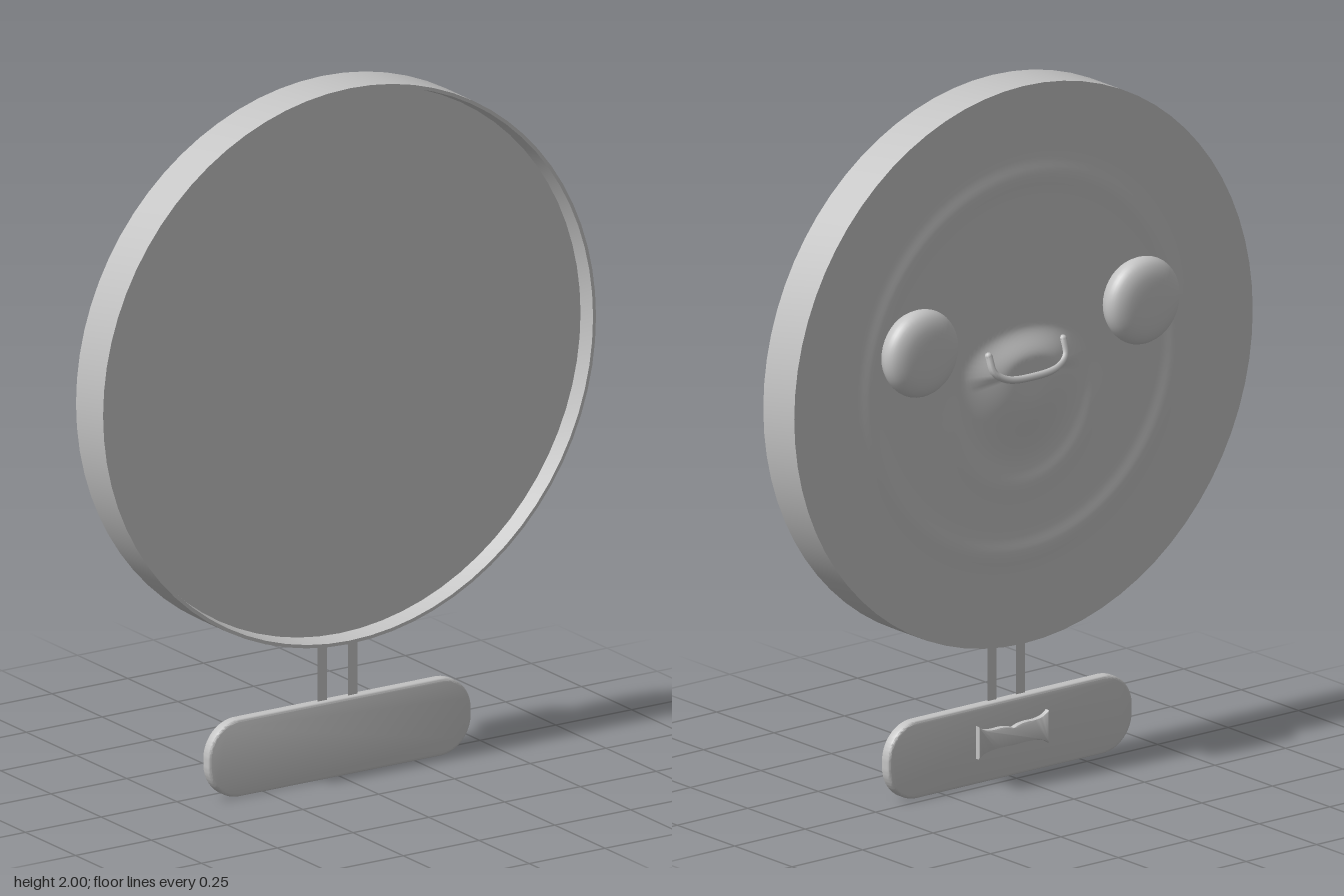
import * as THREE from 'three';
import { toCreasedNormals } from 'three/addons/utils/BufferGeometryUtils.js';

const RX = 0.813, RY = 0.8025, CY = 1.1975; // disc half-width, half-height, centre height
const BACK = -0.03, FRONT = 0.105;

const smooth = THREE.MathUtils.smoothstep;

// Height of the relief on the back face
function relief(x, y) {
  const dy = y - 1.18;
  // muzzle: steep above the mouth, sloping gently to the chin
  const muzzle = dy > 0
    ? 1 - smooth(Math.hypot(x / 0.23, dy / 0.13), 0.35, 1)
    : 1 - smooth(Math.hypot(x / 0.23, dy / 0.27), 0.2, 1);
  // soft chin fold and a large, shallow ring around the face
  const chin = Math.exp(-(((Math.hypot(x, y - 1.1) - 0.25) / 0.035) ** 2)) * (dy < 0 ? smooth(-dy, 0, 0.15) : 0);
  const ring = Math.exp(-(((Math.hypot(x, y - CY) - 0.54) / 0.035) ** 2));
  return 0.036 * muzzle + 0.004 * chin + 0.005 * ring;
}

// Rounded rectangle centred on the origin
function pill(w, h, r) {
  const s = new THREE.Shape();
  s.absarc(w - r, h - r, r, 0, Math.PI / 2);
  s.absarc(-w + r, h - r, r, Math.PI / 2, Math.PI);
  s.absarc(-w + r, -h + r, r, Math.PI, 1.5 * Math.PI);
  s.absarc(w - r, -h + r, r, 1.5 * Math.PI, 2 * Math.PI);
  return s;
}

export function createModel() {
  const model = new THREE.Group();
  const grey = new THREE.MeshStandardMaterial({ color: 0xc4c4c4 });
  grey.name = 'plain grey';
  grey.side = THREE.DoubleSide;

  const add = (name, geometry, x = 0, y = 0, z = 0) => {
    const mesh = new THREE.Mesh(geometry, grey);
    mesh.name = name;
    mesh.position.set(x, y, z);
    model.add(mesh);
    return mesh;
  };

  // Round tray: outer wall, thin rim and recessed front panel
  const profile = [[1, BACK], [1, FRONT], [0.988, FRONT], [0.978, 0.055], [0, 0.055]]
    .map(([r, z]) => new THREE.Vector2(r, z));
  const tray = new THREE.LatheGeometry(profile, 72).rotateX(Math.PI / 2).scale(RX, RY, 1);
  add('disc', toCreasedNormals(tray, 0.6), 0, CY, 0);

  // Back face with its sculpted relief
  const face = new THREE.RingGeometry(0.001, 1, 72, 80).rotateY(Math.PI).scale(RX, RY, 1);
  const p = face.attributes.position;
  for (let i = 0; i < p.count; i++) p.setZ(i, BACK - relief(p.getX(i), p.getY(i) + CY));
  face.computeVertexNormals();
  add('backFace', face, 0, CY, 0);

  // Button eyes
  const eyeCurve = new THREE.SplineCurve([
    [0.112, 0], [0.122, 0.02], [0.124, 0.04], [0.112, 0.06], [0.085, 0.073], [0.045, 0.078], [0.0001, 0.079],
  ].map(([r, z]) => new THREE.Vector2(r, z)));
  for (const side of [1, -1]) {
    const eye = new THREE.LatheGeometry(eyeCurve.getPoints(18), 40).rotateX(-Math.PI / 2);
    add(side > 0 ? 'leftEye' : 'rightEye', eye, side * 0.393, 1.315, BACK);
  }

  // Smile: a slim ridge along the top of the muzzle
  const smile = new THREE.CatmullRomCurve3([
    [-0.132, 1.25, -0.04], [-0.125, 1.205, -0.055], [-0.085, 1.18, -0.064], [0, 1.172, -0.067],
    [0.085, 1.18, -0.064], [0.125, 1.205, -0.055], [0.132, 1.25, -0.04],
  ].map((v) => new THREE.Vector3(...v)));
  add('mouth', new THREE.TubeGeometry(smile, 48, 0.011, 8));
  for (const end of [smile.getPoint(0), smile.getPoint(1)]) {
    add('mouthCorner', new THREE.SphereGeometry(0.011, 12, 8), end.x, end.y, end.z);
  }

  // Two flat straps joining the disc to the plate
  for (const side of [1, -1]) {
    add(side > 0 ? 'leftStrap' : 'rightStrap', new THREE.PlaneGeometry(0.032, 0.19), side * 0.05, 0.305, 0.045);
  }

  // Base plate with softened edges
  const plate = new THREE.ExtrudeGeometry(pill(0.425, 0.104, 0.095), {
    depth: 0.019, bevelThickness: 0.008, bevelSize: 0.008, bevelSegments: 3, curveSegments: 14,
  });
  add('basePlate', toCreasedNormals(plate, 0.6), 0, 0.112, 0.033);

  // Raised handle on the back of the plate, waisted with flared ends
  const bow = new THREE.Shape();
  bow.moveTo(-0.122, -0.042);
  bow.quadraticCurveTo(-0.105, -0.02, 0, -0.026);
  bow.quadraticCurveTo(0.105, -0.02, 0.122, -0.042);
  bow.lineTo(0.122, 0.042);
  bow.quadraticCurveTo(0.105, 0.022, 0.05, 0.026);
  bow.quadraticCurveTo(0.02, 0.026, 0, 0.016);
  bow.quadraticCurveTo(-0.02, 0.026, -0.05, 0.026);
  bow.quadraticCurveTo(-0.105, 0.022, -0.122, 0.042);
  bow.closePath();
  const handle = new THREE.ExtrudeGeometry(bow, {
    depth: 0.014, bevelThickness: 0.005, bevelSize: 0.004, bevelSegments: 2, curveSegments: 8,
  });
  add('backHandle', toCreasedNormals(handle, 0.6), 0, 0.122, 0.015);

  return model;
}
